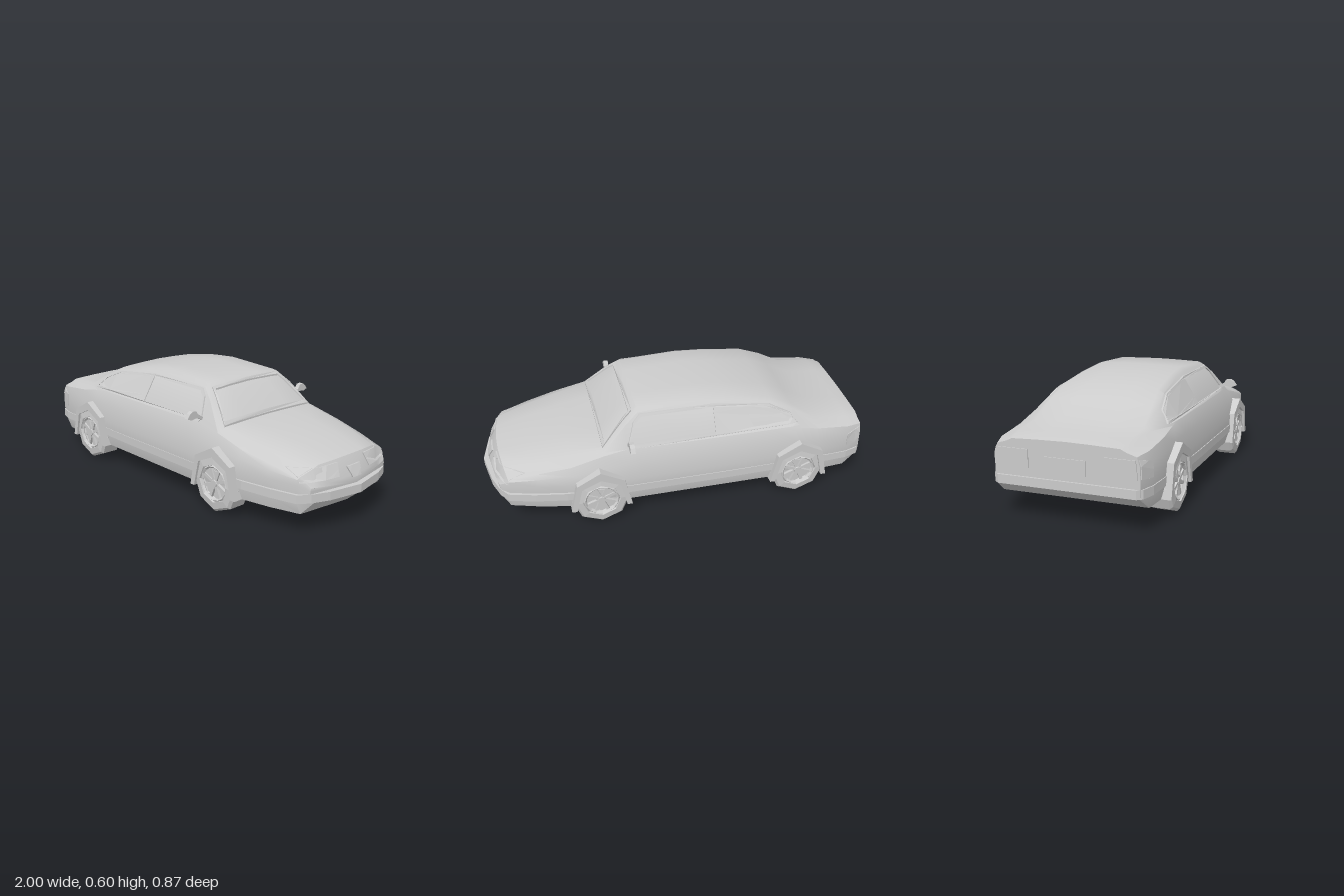
import * as THREE from 'three';
import { toCreasedNormals } from 'three/addons/utils/BufferGeometryUtils.js';

const grey = new THREE.MeshStandardMaterial({ color: 0xcccccc, side: THREE.DoubleSide });
const flat = new THREE.MeshStandardMaterial({ color: 0xcccccc, side: THREE.DoubleSide, flatShading: true });

function add(parent, name, geometry, material = flat) {
  const mesh = new THREE.Mesh(geometry, material);
  mesh.name = name;
  parent.add(mesh);
  return mesh;
}

const shapeOf = (pts) => new THREE.Shape(pts.map(([x, y]) => new THREE.Vector2(x, y)));
const prism = (pts, depth) => new THREE.ExtrudeGeometry(shapeOf(pts), { depth, bevelEnabled: false });

// Body stations along x:
// x, top y, roof edge y, roof edge z, belt y, belt z, side z, sill z, floor y, bow
const STATIONS = [
  [-0.99, 0.385, 0.378, 0.26, 0.350, 0.335, 0.350, 0.345, 0.165, 0],
  [-0.91, 0.405, 0.397, 0.27, 0.360, 0.360, 0.375, 0.360, 0.105, 0],
  [-0.74, 0.425, 0.415, 0.27, 0.378, 0.365, 0.385, 0.372, 0.105, 0],
  [-0.61, 0.498, 0.488, 0.26, 0.400, 0.360, 0.388, 0.375, 0.105, 0],
  [-0.49, 0.550, 0.540, 0.245, 0.410, 0.355, 0.390, 0.375, 0.105, 0],
  [-0.26, 0.583, 0.577, 0.23, 0.410, 0.355, 0.393, 0.375, 0.105, 0],
  [-0.10, 0.595, 0.590, 0.225, 0.410, 0.355, 0.393, 0.375, 0.105, 0],
  [0.21, 0.580, 0.574, 0.23, 0.410, 0.352, 0.393, 0.375, 0.105, 0],
  [0.28, 0.535, 0.522, 0.26, 0.408, 0.350, 0.393, 0.375, 0.105, 0],
  [0.40, 0.412, 0.405, 0.30, 0.385, 0.350, 0.390, 0.375, 0.105, 0],
  [0.57, 0.400, 0.385, 0.27, 0.345, 0.355, 0.383, 0.370, 0.105, 0],
  [0.76, 0.368, 0.355, 0.24, 0.315, 0.330, 0.352, 0.335, 0.105, 0.02],
  [0.92, 0.332, 0.325, 0.20, 0.285, 0.300, 0.315, 0.290, 0.105, 0.04],
  [0.965, 0.25, 0.246, 0.18, 0.236, 0.255, 0.275, 0.250, 0.165, 0.05],
];

function bodyGeometry() {
  const pos = [], index = [];
  for (const [x, yc, ye, we, yb, wb, wm, wl, y0, bow] of STATIONS) {
    const yl = Math.max(0.17, y0 + 0.01), ym = Math.min(0.25, yb - 0.015);
    const half = [[0, y0], [wl, y0], [wm, yl], [wm, ym],
      [(wm + wb) / 2 + 0.006, (ym + yb) / 2 + 0.008], [wb, yb],
      [we + 0.03, ye - 0.014], [we, ye], [we / 2, (ye + 2 * yc) / 3], [0, yc]];
    const mirrored = half.slice(1, -1).reverse().map(([z, y]) => [-z, y]);
    for (const [z, y] of [...half, ...mirrored]) pos.push(x - bow * (z / 0.31) ** 2, y, z);
  }
  const n = pos.length / 3 / STATIONS.length, last = (STATIONS.length - 1) * n;
  for (let i = 0; i < last; i += n) {
    for (let j = 0; j < n; j++) {
      const a = i + j, b = i + (j + 1) % n;
      index.push(a, a + n, b, b, a + n, b + n);
    }
  }
  // tail and nose caps
  const c = pos.length / 3;
  pos.push(-0.99, 0.27, 0, 0.972, 0.21, 0);
  for (let j = 0; j < n; j++) {
    const k = (j + 1) % n;
    index.push(c, j, k, c + 1, last + k, last + j);
  }
  const g = new THREE.BufferGeometry();
  g.setAttribute('position', new THREE.Float32BufferAttribute(pos, 3));
  g.setIndex(index);
  return toCreasedNormals(g, 0.6);
}

// Splits an outline into short edges so that a panel can follow the body
function densify(pts, step = 0.04) {
  return pts.flatMap(([x, y], i) => {
    const [p, q] = pts[(i + 1) % pts.length];
    const n = Math.ceil(Math.hypot(p - x, q - y) / step);
    return Array.from({ length: n }, (_, k) => [x + (p - x) * k / n, y + (q - y) * k / n]);
  });
}

const V = (x, y, z) => new THREE.Vector3(x, y, z);
const FACING = {
  left: [V(1, 0, 0), V(0, 1, 0), V(0, 0, 1)],
  right: [V(-1, 0, 0), V(0, 1, 0), V(0, 0, -1)],
  front: [V(0, 0, -1), V(0, 1, 0), V(1, 0, 0)],
  rear: [V(0, 0, 1), V(0, 1, 0), V(-1, 0, 0)],
  top: [V(1, 0, 0), V(0, 0, -1), V(0, 1, 0)],
};

// Thin panel laid onto the body from one side; inset > 0 leaves only a frame
function drape(body, facing, pts, height, inset = 0) {
  const [U, W, N] = FACING[facing];
  const shape = shapeOf(densify(pts));
  if (inset) {
    const cx = pts.reduce((s, p) => s + p[0], 0) / pts.length;
    const cy = pts.reduce((s, p) => s + p[1], 0) / pts.length;
    const w = Math.max(...pts.map((p) => Math.abs(p[0] - cx)));
    const h = Math.max(...pts.map((p) => Math.abs(p[1] - cy)));
    const hole = pts.map(([x, y]) => [cx + (x - cx) * (1 - inset / w), cy + (y - cy) * (1 - inset / h)]);
    shape.holes.push(new THREE.Path(densify(hole).map(([x, y]) => new THREE.Vector2(x, y))));
  }
  const g = new THREE.ExtrudeGeometry(shape, { depth: 1, bevelEnabled: false });
  const p = g.attributes.position, ray = new THREE.Raycaster(), v = V(0, 0, 0);
  for (let i = 0; i < p.count; i++) {
    v.set(0, 0, 0).addScaledVector(U, p.getX(i)).addScaledVector(W, p.getY(i));
    ray.set(v.clone().addScaledVector(N, 2), N.clone().negate());
    const hit = ray.intersectObject(body)[0];
    const base = hit ? 2 - hit.distance : 0.3;
    v.addScaledVector(N, base + (p.getZ(i) > 0.5 ? height : -0.006));
    p.setXYZ(i, v.x, v.y, v.z);
  }
  g.computeVertexNormals();
  return g;
}

// Eight-sided tyre with a recessed spoked rim, outer face towards +z
function makeWheel() {
  const wheel = new THREE.Group();
  const profile = [[0, -0.05], [0.1, -0.062], [0.135, -0.058], [0.148, -0.045], [0.148, 0.045],
    [0.135, 0.058], [0.098, 0.063], [0.09, 0.035], [0, 0.035]];
  const tyre = new THREE.LatheGeometry(profile.map(([r, y]) => new THREE.Vector2(r, y)), 8);
  add(wheel, 'tyre', tyre.rotateX(Math.PI / 2));
  add(wheel, 'rim', new THREE.TorusGeometry(0.086, 0.008, 4, 16)).position.z = 0.053;
  add(wheel, 'hub', new THREE.CylinderGeometry(0.018, 0.024, 0.025, 8).rotateX(Math.PI / 2)).position.z = 0.046;
  for (let i = 0; i < 8; i++) {
    const spoke = new THREE.BoxGeometry(0.016, 0.07, 0.014).translate(0, 0.05, 0.046);
    add(wheel, 'spoke', spoke.rotateZ((i + 0.5) * Math.PI / 4));
  }
  return wheel;
}

export function createModel() {
  const car = new THREE.Group();
  car.name = 'car';
  const body = add(car, 'body', bodyGeometry(), grey);

  // Bumpers and side strips run round the car as one band
  const edge = [[1, 0], [0.965, 0.18], [0.93, 0.27], [0.89, 0.325], [0.76, 0.36], [0.6, 0.388], [0.3, 0.397],
    [-0.26, 0.397], [-0.74, 0.389], [-0.91, 0.38], [-0.98, 0.36], [-1, 0.335]];
  const band = [...edge, ...edge.slice(1).reverse().map(([x, z]) => [x, -z])];
  add(car, 'bumperBand', prism(band, 0.042).rotateX(-Math.PI / 2)).position.y = 0.166;

  // Windscreen
  const screen = [[0.235, 0.235], [0.4, 0.305], [0.4, -0.305], [0.235, -0.235]];
  add(car, 'windscreenFrame', drape(body, 'top', screen, 0.009, 0.014));

  // Side windows, mirrors and rear corner lamps
  const windows = [[-0.63, 0.412], [-0.59, 0.468], [-0.48, 0.522], [-0.18, 0.558], [0.2, 0.556],
    [0.235, 0.525], [0.275, 0.425], [0.26, 0.412]];
  const rearPane = [[-0.62, 0.425], [-0.585, 0.465], [-0.47, 0.512], [-0.18, 0.55], [-0.18, 0.425]];
  const cornerLamp = [[-0.985, 0.338], [-0.905, 0.318], [-0.905, 0.245], [-0.985, 0.252]];
  for (const side of [1, -1]) {
    const facing = side > 0 ? 'left' : 'right';
    const flip = (pts) => pts.map(([x, y]) => [x * side, y]);
    add(car, 'windowFrame', drape(body, facing, flip(windows), 0.008, 0.012));
    add(car, 'rearSideWindow', drape(body, facing, flip(rearPane), 0.005));
    add(car, 'cornerLamp', drape(body, facing, flip(cornerLamp), 0.004));

    const mirror = [[0.335, 0.415], [0.37, 0.438], [0.41, 0.432], [0.435, 0.442], [0.42, 0.463],
      [0.402, 0.475], [0.378, 0.472], [0.368, 0.455], [0.335, 0.435]];
    const m = prism(mirror.map(([z, y]) => [-z * side, y]), 0.024).rotateY(Math.PI / 2);
    add(car, 'wingMirror', m).position.x = 0.253;

    // Lamps at the ends
    const headlamp = [[0.3, 0.312], [0.095, 0.318], [0.11, 0.26], [0.31, 0.26]];
    add(car, 'headlamp', drape(body, 'front', flip(headlamp), 0.006));
    const tailLamp = [[0.18, 0.335], [0.33, 0.335], [0.34, 0.25], [0.18, 0.25]];
    add(car, 'tailLamp', drape(body, 'rear', flip(tailLamp), 0.005));
  }
  add(car, 'grille', drape(body, 'front', [[-0.047, 0.29], [0.047, 0.29], [0.03, 0.24], [-0.03, 0.24]], 0.008));
  add(car, 'rearPlate', drape(body, 'rear', [[-0.1, 0.31], [0.1, 0.31], [0.1, 0.24], [-0.1, 0.24]], 0.005));

  // Wheels under angular arches
  const outer = [[0.157, 0.105], [0.122, 0.266], [0, 0.333]];
  const inner = [[0, 0.285], [0.098, 0.24], [0.13, 0.105]];
  const mirrorX = ([x, y]) => [-x, y];
  const arch = [...outer, ...outer.slice(0, 2).reverse().map(mirrorX),
    ...inner.slice(1).reverse().map(mirrorX), ...inner];
  for (const x of [-0.63, 0.43]) {
    for (const side of [1, -1]) {
      const wheel = makeWheel();
      wheel.name = x > 0 ? 'frontWheel' : 'rearWheel';
      wheel.position.set(x, 0.148, side * 0.347);
      if (side < 0) wheel.rotation.y = Math.PI;
      car.add(wheel);
      add(car, 'wheelArch', prism(arch, 0.08)).position.set(x, 0, side > 0 ? 0.338 : -0.418);
    }
  }
  return car;
}
